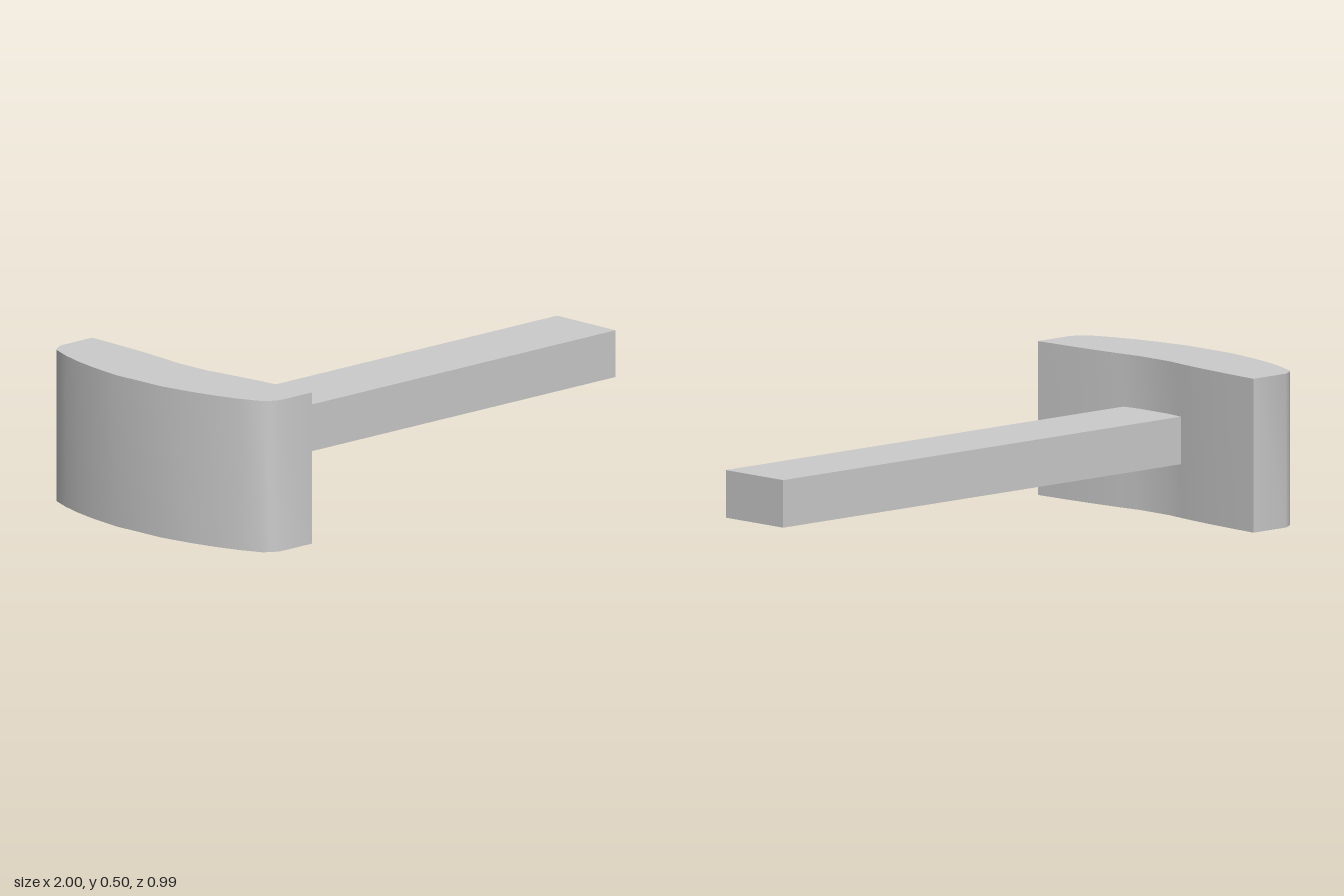
import * as THREE from 'three';
import { toCreasedNormals } from 'three/addons/utils/BufferGeometryUtils.js';

export function createModel() {
  const model = new THREE.Group();
  const material = new THREE.MeshStandardMaterial({ color: 0xcccccc });
  const height = 0.495;

  // Half outline of the head in plan: curved striking face, chamfer, concave inner face
  const half = [
    [-1, 0.1], [-0.982, 0.22], [-0.962, 0.31], [-0.937, 0.39], [-0.905, 0.465],
    [-0.885, 0.48], [-0.857, 0.495], [-0.715, 0.495], [-0.722, 0.36],
    [-0.731, 0.24], [-0.742, 0.14], [-0.752, 0.07],
  ];
  const mirrored = half.map(([x, y]) => [x, -y]).reverse();
  const outline = [...half, ...mirrored].map(([x, y]) => new THREE.Vector2(x, y));

  const headGeometry = new THREE.ExtrudeGeometry(new THREE.Shape(outline), {
    depth: height, bevelEnabled: false,
  });
  headGeometry.rotateX(-Math.PI / 2);
  const head = new THREE.Mesh(toCreasedNormals(headGeometry, 0.65), material);
  head.name = 'head';
  model.add(head);

  // Straight rectangular handle, seated in the inner face of the head
  const start = -0.78;
  const handle = new THREE.Mesh(new THREE.BoxGeometry(1 - start, 0.153, 0.264), material);
  handle.position.set((1 + start) / 2, 0.249, 0);
  handle.name = 'handle';
  model.add(handle);

  return model;
}
